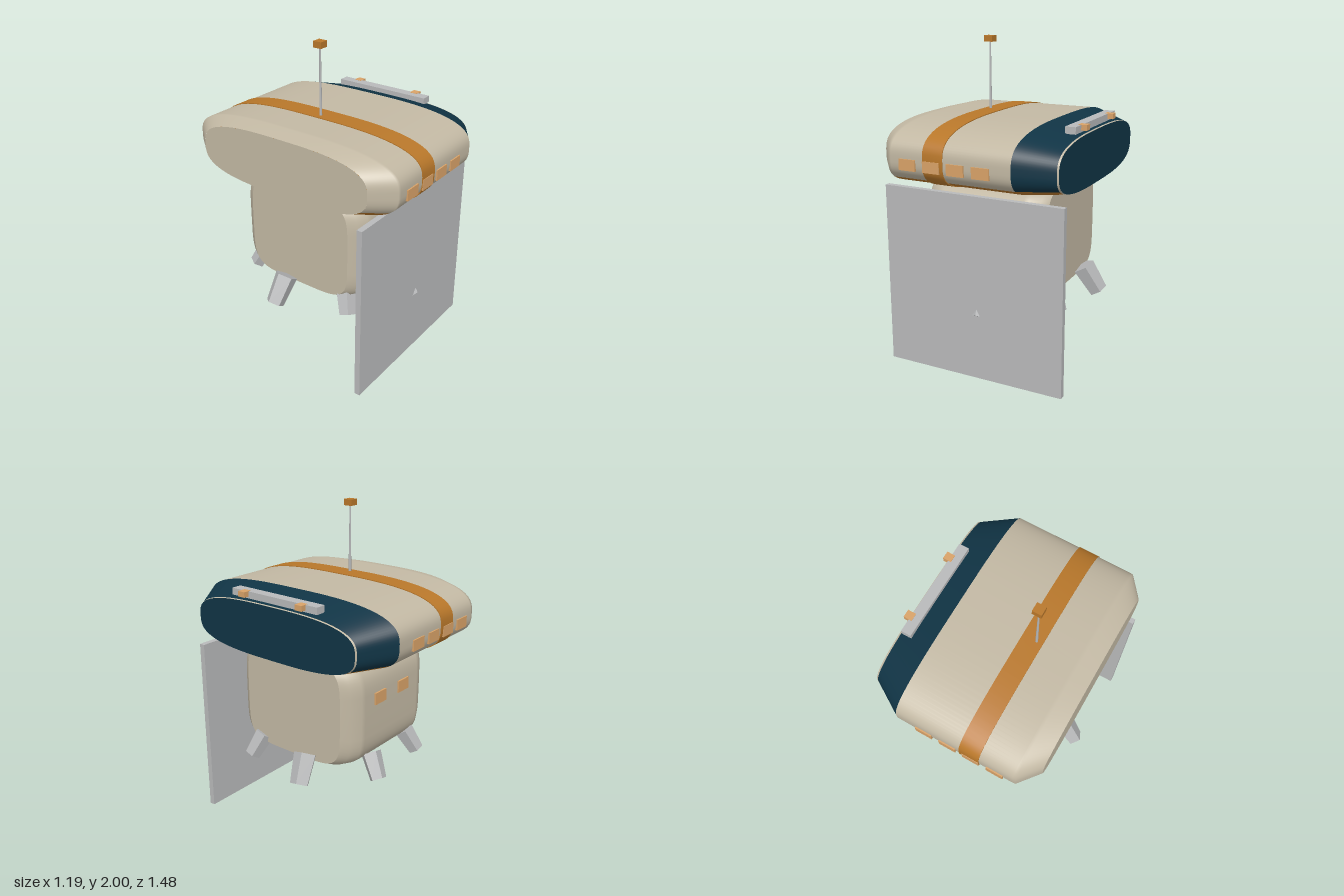
import * as THREE from 'three';

const mat = (name, color) => {
  const m = new THREE.MeshStandardMaterial({ color });
  m.name = name;
  return m;
};

// Superellipse point on a station [x, half depth, low y, high y]
function ringPoint([x, rz, lo, hi], n, t) {
  const c = Math.cos(t), s = Math.sin(t);
  const p = (v) => Math.sign(v) * Math.pow(Math.abs(v), 2 / n);
  return [x, (lo + hi) / 2 + ((hi - lo) / 2) * p(s), rz * p(c)];
}

// Skin through stations along x, over the arc t0..t1
function loft(stations, n, t0 = 0, t1 = Math.PI * 2, seg = 64) {
  const pos = [], idx = [];
  const closed = Math.abs(t1 - t0 - Math.PI * 2) < 1e-6;
  const cols = closed ? seg : seg + 1;
  for (const st of stations)
    for (let j = 0; j < cols; j++) pos.push(...ringPoint(st, n, t0 + ((t1 - t0) * j) / seg));
  for (let i = 0; i < stations.length - 1; i++)
    for (let j = 0; j < seg; j++) {
      const k = (j + 1) % cols;
      const a = i * cols + j, b = a + cols, c = i * cols + k, d = c + cols;
      idx.push(a, b, c, b, d, c);
    }
  const g = new THREE.BufferGeometry();
  g.setAttribute('position', new THREE.Float32BufferAttribute(pos, 3));
  g.setIndex(idx);
  g.computeVertexNormals();
  return g;
}

// Flat end face of a station, facing +x (dir 1) or -x (dir -1)
function endFace(st, n, dir, seg = 64) {
  const pos = [st[0], (st[2] + st[3]) / 2, 0], idx = [];
  for (let j = 0; j < seg; j++) pos.push(...ringPoint(st, n, (j / seg) * Math.PI * 2));
  for (let j = 0; j < seg; j++) {
    const a = 1 + j, b = 1 + ((j + 1) % seg);
    if (dir > 0) idx.push(0, b, a);
    else idx.push(0, a, b);
  }
  const g = new THREE.BufferGeometry();
  g.setAttribute('position', new THREE.Float32BufferAttribute(pos, 3));
  g.setIndex(idx);
  g.computeVertexNormals();
  return g;
}

export function createModel() {
  const model = new THREE.Group();
  model.name = 'capsuleStation';
  const tan = mat('tan hull', 0xc2b8a3);
  const orange = mat('burnt orange', 0xb8772a);
  const teal = mat('dark teal', 0x103445);
  const grey = mat('grey metal', 0xb8b9ba);
  const amber = mat('amber window', 0xd8a268);
  const greyFlat = mat('grey facets', 0xb8b9ba);
  greyFlat.flatShading = true;

  const add = (name, geo, m, x = 0, y = 0, z = 0, parent = model) => {
    const mesh = new THREE.Mesh(geo, m);
    mesh.name = name;
    mesh.position.set(x, y, z);
    parent.add(mesh);
    return mesh;
  };
  const box = (name, m, w, h, d, x, y, z) => add(name, new THREE.BoxGeometry(w, h, d), m, x, y, z);

  // Upper hull: painted top and belly over one set of stations
  const N = 3, split = 0.483;
  const rear = [-0.545, 0.6, 1.165, 1.52];
  const tail = [-0.44, 0.73, 1.145, 1.545];
  const tail2 = [-0.42, 0.732, 1.145, 1.545];
  const shoulder = [0.345, 0.732, 1.145, 1.545];
  const nose = [0.555, 0.605, 1.155, 1.485];
  const lip = [0.565, 0.6, 1.157, 1.482];
  const upper = [-split, Math.PI + split], lower = [Math.PI + split, Math.PI * 2 - split];
  add('upperHull', loft([rear, tail, tail2, shoulder], N, ...upper), tan);
  add('noseSkin', loft([shoulder, nose], N, ...upper), teal);
  add('hullBelly', loft([rear, tail, tail2, shoulder], N, ...lower), orange);
  add('noseBelly', loft([shoulder, nose], N, ...lower), orange);
  add('hullRearFace', endFace(rear, N, -1), tan);
  add('noseRim', loft([nose, lip], N), tan);
  add('noseFace', endFace(lip, N, 1), teal);

  // Stripe wrapped around the hull
  const bandA = [-0.205, 0.737, 1.14, 1.55], bandB = [-0.075, 0.737, 1.14, 1.55];
  add('stripe', loft([bandA, bandB], N), orange);
  add('stripeRearEdge', endFace(bandA, N, -1), orange);
  add('stripeFrontEdge', endFace(bandB, N, 1), orange);

  // Lower cabin
  const half = [[0.4, 0.37, 0.495, 1.145], [0.365, 0.42, 0.485, 1.155], [0.3, 0.455, 0.48, 1.16], [0.27, 0.46, 0.48, 1.16]];
  const cabin = [...half.map(([x, ...r]) => [-x, ...r]), ...half.slice().reverse()];
  add('cabin', loft(cabin, 5), tan);
  add('cabinRearFace', endFace(cabin[0], 5, -1), tan);
  add('cabinFrontFace', endFace(half[0], 5, 1), tan);

  // Windows on both sides
  for (const s of [1, -1]) {
    for (const x of [-0.307, -0.15, 0.005, 0.163])
      box('hullWindow', amber, 0.108, 0.066, 0.02, x, 1.318, s * 0.73);
    for (const x of [0.13, -0.11])
      box('cabinWindow', amber, 0.108, 0.075, 0.02, x, 0.913, s * 0.46);
  }

  // Light bar on the nose
  box('lightBar', grey, 0.065, 0.042, 0.65, 0.512, 1.515, 0);
  for (const z of [0.218, -0.218]) box('barLamp', amber, 0.054, 0.033, 0.05, 0.552, 1.521, z);

  // Antenna
  add('mast', new THREE.CylinderGeometry(0.005, 0.009, 0.44, 8), grey, -0.165, 1.755, 0);
  box('mastTip', orange, 0.057, 0.038, 0.057, -0.165, 1.981, 0);

  // Side panel standing on the ground
  box('sidePanel', grey, 1.165, 1.14, 0.036, 0.0125, 0.57, 0.57);

  // Ring of splayed five-sided feet
  const sizes = [1, 0.85, 1, 0.85, 0.88, 1, 0.85];
  const foot = new THREE.CylinderGeometry(0.074, 0.06, 0.19, 5);
  foot.rotateY(Math.PI / 2);
  sizes.forEach((size, i) => {
    const a = THREE.MathUtils.degToRad(85.7) + (i * Math.PI * 2) / 7;
    const arm = new THREE.Group();
    arm.name = 'footArm';
    arm.rotation.y = -a;
    const mesh = add('foot', foot, greyFlat, 0.505, 0.465 + (1 - size) * 0.06, 0, arm);
    mesh.rotation.z = 0.56;
    mesh.scale.setScalar(size);
    model.add(arm);
  });

  return model;
}
